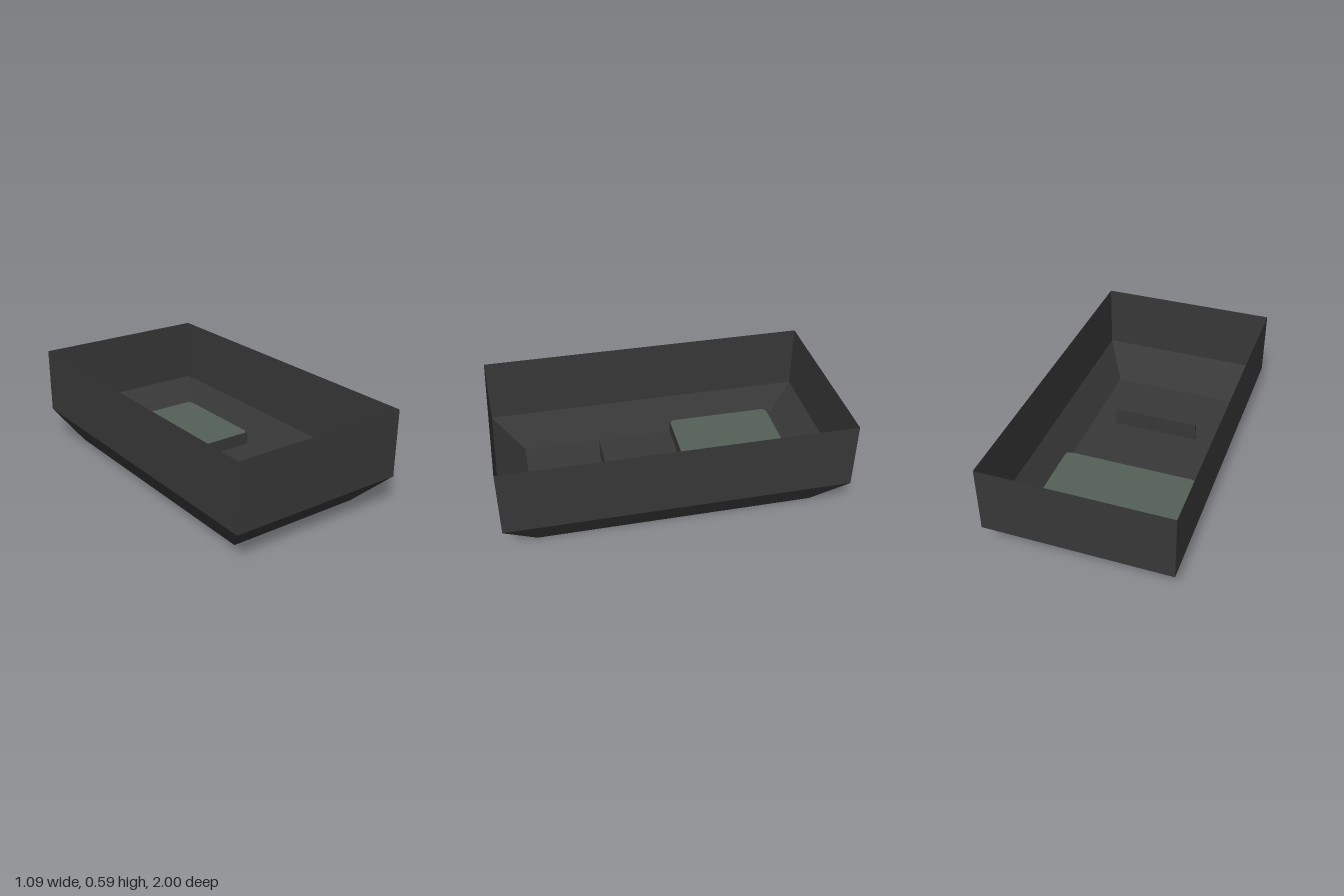
import * as THREE from 'three';

const W = 0.545, L = 1, FW = 0.418, FL = 0.815; // rim and floor half sizes
const RIM = 0.59, KNEE = 0.19, STEP_Z = -0.14, STEP_Y = 0.08;

const charcoal = new THREE.MeshStandardMaterial({ color: 0x383838, side: THREE.DoubleSide });
charcoal.name = 'charcoal';
const greyGreen = new THREE.MeshStandardMaterial({ color: 0x546157, side: THREE.DoubleSide });
greyGreen.name = 'greyGreen';

// Rectangle given as [xMin, xMax, zMin, zMax, y]; corners run counter-clockwise from above
const corners = ([x0, x1, z0, z1, y]) => [[x0, y, z1], [x1, y, z1], [x1, y, z0], [x0, y, z0]];

// Four flat sides joining a lower rectangle to an upper one
function band(lower, upper) {
  const a = corners(lower), b = corners(upper), pos = [];
  for (let i = 0; i < 4; i++) {
    const j = (i + 1) % 4;
    pos.push(...a[i], ...a[j], ...b[j], ...a[i], ...b[j], ...b[i]);
  }
  const g = new THREE.BufferGeometry();
  g.setAttribute('position', new THREE.Float32BufferAttribute(pos, 3));
  g.computeVertexNormals();
  return g;
}

// Flat shape laid horizontally at height y, facing up (shape y becomes -z)
function sheet(shape, y) {
  return new THREE.ShapeGeometry(shape, 6).rotateX(-Math.PI / 2).translate(0, y, 0);
}

function rect(x0, x1, z0, z1, type = THREE.Shape) {
  return new type([[x0, -z1], [x1, -z1], [x1, -z0], [x0, -z0]].map(p => new THREE.Vector2(...p)));
}

function roundedRect(x0, x1, z0, z1, r) {
  const s = new THREE.Shape(), b = -z1, t = -z0;
  s.moveTo(x0 + r, b).lineTo(x1 - r, b).quadraticCurveTo(x1, b, x1, b + r);
  s.lineTo(x1, t - r).quadraticCurveTo(x1, t, x1 - r, t);
  s.lineTo(x0 + r, t).quadraticCurveTo(x0, t, x0, t - r);
  s.lineTo(x0, b + r).quadraticCurveTo(x0, b, x0 + r, b);
  return s;
}

export function createModel() {
  const model = new THREE.Group();
  model.name = 'openTray';
  const add = (name, geometry, material) => {
    const mesh = new THREE.Mesh(geometry, material);
    mesh.name = name;
    model.add(mesh);
  };

  // Upright walls and tapered lower skirt, open at the top
  add('upperWalls', band([-W, W, -L, L, KNEE], [-W, W, -L, L, RIM]), charcoal);
  add('taperedSkirt', band([-FW, FW, -FL, FL, 0], [-W, W, -L, L, KNEE]), charcoal);

  // Front floor with a narrow slot
  const fin = [-0.27, 0.27, 0.332, 0.35];
  const floor = rect(-FW, FW, STEP_Z, FL);
  floor.holes.push(rect(...fin, THREE.Path));
  add('frontFloor', sheet(floor, 0), charcoal);

  // Thin hollow fin above the slot
  add('finSides', band([...fin, 0], [...fin, 0.115]), charcoal);
  add('finTop', sheet(rect(...fin), 0.115), charcoal);

  // Raised rear platform, hollow underneath
  const deck = [-FW, FW, -FL, STEP_Z];
  add('platformSides', band([...deck, 0], [...deck, STEP_Y]), charcoal);
  add('platformDeck', sheet(rect(...deck), STEP_Y), charcoal);
  add('platformUnderside', sheet(rect(...deck), STEP_Y - 0.003), greyGreen);
  add('rearPanel', sheet(roundedRect(-FW, FW, -0.798, STEP_Z, 0.04), STEP_Y + 0.003), greyGreen);

  return model;
}
